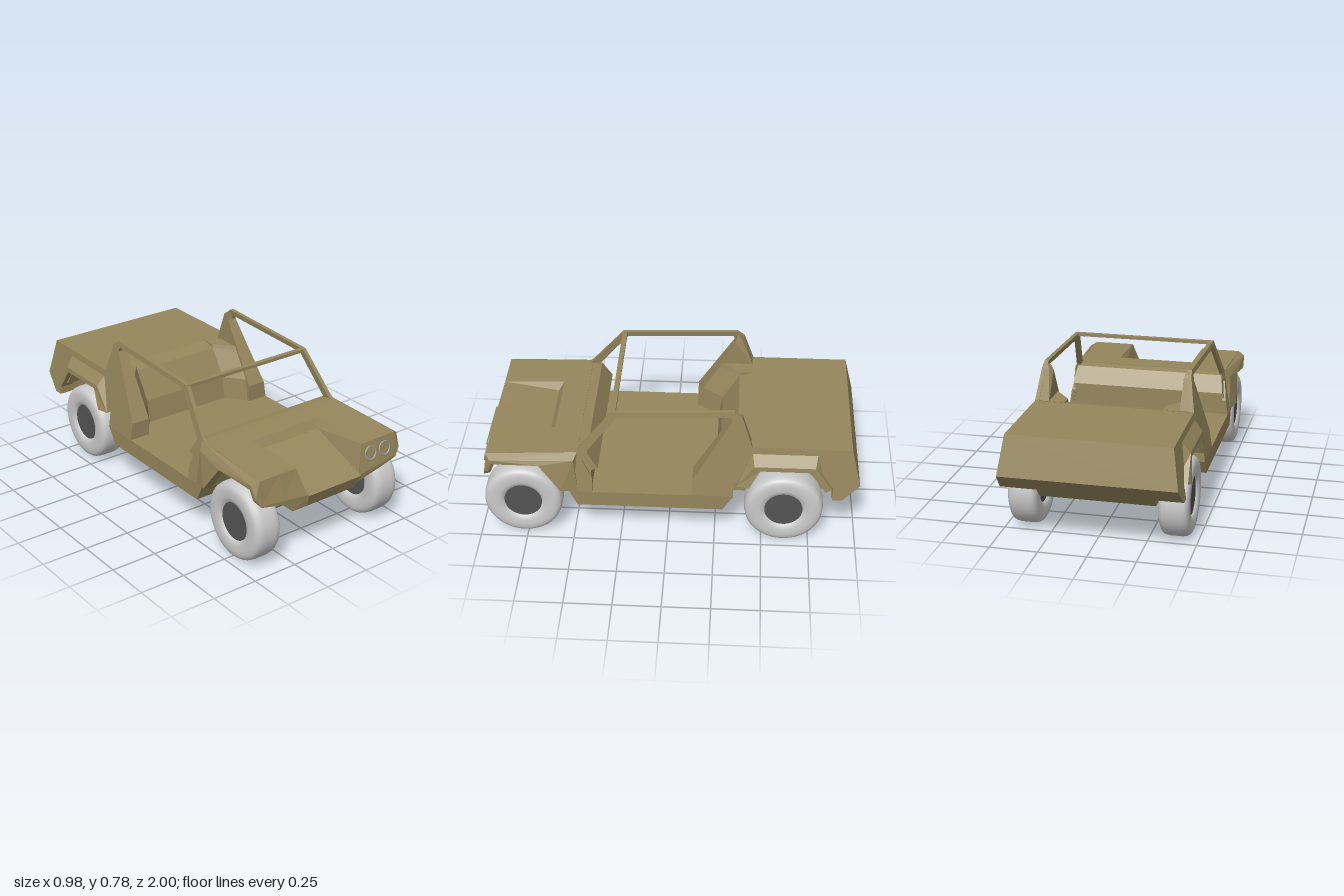
import * as THREE from 'three';

const paint = new THREE.MeshStandardMaterial({ color: 0x95865b });
paint.name = 'olive drab paint';
const rubber = new THREE.MeshStandardMaterial({ color: 0xcacaca });
rubber.name = 'pale grey tyre';
const dark = new THREE.MeshStandardMaterial({ color: 0x545454 });
dark.name = 'dark grey hub';
const steel = new THREE.MeshStandardMaterial({ color: 0x9a9c9e });
steel.name = 'steel grey trim';

// The cabin and deck sides lean inwards above the sill.
const lean = (z, y) => 0.465 - Math.max(0, y - 0.3) * 0.156;

// Solid between two matching outlines of [x, y, z] points, the second further along +x.
function loft(name, a, b) {
  let contour = a.map(p => new THREE.Vector2(p[2], p[1]));
  if (THREE.ShapeUtils.area(contour) < 0) {
    a = [...a].reverse();
    b = [...b].reverse();
    contour = contour.reverse();
  }
  const pos = [];
  const tri = (...pts) => pts.forEach(p => pos.push(...p));
  for (const [i, j, k] of THREE.ShapeUtils.triangulateShape(contour, [])) {
    tri(a[i], a[j], a[k]);
    tri(b[i], b[k], b[j]);
  }
  a.forEach((p, i) => {
    const j = (i + 1) % a.length;
    tri(a[j], p, b[i]);
    tri(a[j], b[i], b[j]);
  });
  const geo = new THREE.BufferGeometry();
  geo.setAttribute('position', new THREE.Float32BufferAttribute(pos, 3));
  geo.computeVertexNormals();
  const mesh = new THREE.Mesh(geo, paint);
  mesh.name = name;
  return mesh;
}

// Side outline of [z, y] points, with inner and outer x given by rules.
const slab = (name, outline, inner, outer) => loft(name,
  outline.map(([z, y]) => [inner(z, y), y, z]),
  outline.map(([z, y]) => [outer(z, y), y, z]));

// Slab running across the whole width.
const across = (name, outline, half) => slab(name, outline, (z, y) => -half(z, y), half);

function makeWheel() {
  const wheel = new THREE.Group();
  wheel.name = 'wheel';
  const outline = [[0.098, -0.058], [0.108, -0.071], [0.13, -0.077], [0.16, -0.0775], [0.18, -0.075],
    [0.195, -0.067], [0.204, -0.054], [0.208, -0.03]];
  const full = [...outline, ...outline.map(([r, h]) => [r, -h]).reverse()];
  const tyre = new THREE.Mesh(new THREE.LatheGeometry(full.map(p => new THREE.Vector2(...p)), 48), rubber);
  tyre.name = 'tyre';
  const hub = new THREE.Mesh(new THREE.CylinderGeometry(0.101, 0.101, 0.122, 40), dark);
  hub.name = 'hub';
  wheel.add(tyre, hub);
  wheel.rotation.z = Math.PI / 2;
  return wheel;
}

export function createModel() {
  const model = new THREE.Group();
  model.name = 'openUtilityVehicle';
  const both = mesh => {
    const twin = mesh.clone();
    twin.scale.x = -1;
    mesh.name += 'Left';
    twin.name += 'Right';
    model.add(mesh, twin);
  };

  // Floor and chassis
  model.add(across('floorPan', [[0.475, 0.208], [-0.29, 0.208], [-0.345, 0.296], [0.515, 0.296]],
    () => 0.465));
  model.add(across('rearChassis', [[-0.28, 0.38], [-0.86, 0.38], [-0.91, 0.296], [-0.86, 0.295],
    [-0.78, 0.208], [-0.28, 0.208]], () => 0.3));
  model.add(across('engineBay', [[0.47, 0.5], [0.6, 0.46], [0.9, 0.38], [0.93, 0.33], [0.9, 0.295],
    [0.47, 0.295]], () => 0.3));

  // Nose with the sunken centre of the hood
  const noseHalf = (z, y) => y > 0.5 ? 0.215 : y > 0.45 ? 0.19 : y > 0.35 ? 0.172 : 0.155;
  model.add(across('noseCentre', [[0.61, 0.525], [0.64, 0.48], [1, 0.365], [0.97, 0.295], [0.86, 0.208],
    [0.46, 0.208], [0.46, 0.4]], noseHalf));

  // Raised hood sides with the front panels, solid inside and thin above the wheel
  const panel = [[0.31, 0.525, 0.61], [0.318, 0.51, 0.945], [0.31, 0.375, 0.978], [0.31, 0.352, 0.976],
    [0.31, 0.347, 0.932]];
  both(loft('hoodInner',
    [[0.215, 0.525, 0.61], [0.215, 0.51, 0.945], [0.17, 0.365, 0.99], [0.165, 0.33, 0.986],
      [0.165, 0.32, 0.93], [0.182, 0.39, 0.9], [0.19, 0.48, 0.64]],
    [...panel, [0.31, 0.36, 0.9], [0.31, 0.36, 0.62]]));
  both(loft('hoodOuter',
    [...panel, [0.31, 0.465, 0.91], [0.31, 0.465, 0.61]],
    [[0.43, 0.525, 0.61], [0.44, 0.51, 0.945], [0.44, 0.385, 0.965], [0.44, 0.375, 0.964],
      [0.43, 0.375, 0.935], [0.43, 0.465, 0.91], [0.43, 0.465, 0.61]]));
  model.add(across('hoodRear', [[0.47, 0.53], [0.61, 0.525], [0.61, 0.47], [0.54, 0.295], [0.47, 0.295]],
    () => 0.43));

  // Front fenders: bevelled edge, flared behind the wheel
  both(loft('frontFender',
    [[0.43, 0.53, 0.47], [0.44, 0.51, 0.945], [0.44, 0.375, 0.965], [0.43, 0.375, 0.935],
      [0.43, 0.465, 0.915], [0.43, 0.465, 0.67], [0.43, 0.295, 0.55], [0.43, 0.295, 0.47]],
    [[0.456, 0.49, 0.49], [0.475, 0.49, 0.925], [0.468, 0.42, 0.955], [0.468, 0.41, 0.935],
      [0.475, 0.465, 0.915], [0.475, 0.465, 0.67], [0.49, 0.315, 0.56], [0.465, 0.3, 0.47]]));

  // Dashboard and bulkhead
  model.add(across('dashboard', [[0.49, 0.53], [0.42, 0.52], [0.365, 0.43], [0.4, 0.42], [0.4, 0.29],
    [0.5, 0.29], [0.54, 0.45]], (z, y) => lean(z, y) - 0.01));

  // Side frame: front post, roof rail and rear pillar around the doorway
  both(slab('sideFrame', [[0.515, 0.296], [0.55, 0.5], [0.47, 0.54], [0.29, 0.76], [-0.34, 0.785],
    [-0.38, 0.755], [-0.435, 0.59], [-0.42, 0.38], [-0.345, 0.38], [-0.345, 0.296], [-0.13, 0.296],
    [-0.13, 0.39], [-0.33, 0.73], [-0.32, 0.755], [0.265, 0.733], [0.425, 0.53], [0.445, 0.48],
    [0.395, 0.38], [0.395, 0.296]],
    (z, y) => lean(z, y) - 0.022, lean));
  both(slab('rearPillar', [[-0.13, 0.29], [-0.13, 0.39], [-0.33, 0.73], [-0.335, 0.757], [-0.345, 0.782],
    [-0.38, 0.752], [-0.43, 0.59], [-0.4, 0.5], [-0.3, 0.29]],
    (z, y) => y > 0.77 ? 0.377 : y > 0.74 ? 0.356 : 0.345, (z, y) => lean(z, y) - 0.004));
  const header = new THREE.Mesh(new THREE.BoxGeometry(0.78, 0.017, 0.026), paint);
  header.name = 'windscreenHeader';
  header.position.set(0, 0.751, 0.282);
  model.add(header);

  // Rear deck with the cabin back wall, open below between the wheel arches
  model.add(across('rearDeck', [[-0.25, 0.29], [-0.27, 0.42], [-0.36, 0.57], [-0.44, 0.59],
    [-0.95, 0.59], [-1, 0.385], [-0.91, 0.296], [-0.86, 0.296], [-0.86, 0.37], [-0.79, 0.385],
    [-0.75, 0.475], [-0.48, 0.475], [-0.44, 0.38], [-0.345, 0.38], [-0.345, 0.29]], lean));

  // Angled corners joining the back wall to the pillars
  both(loft('cabinCorner',
    [[0.26, 0.29, -0.25], [0.26, 0.42, -0.27], [0.26, 0.57, -0.36], [0.26, 0.591, -0.37],
      [0.26, 0.591, -0.44], [0.26, 0.29, -0.34]],
    [[0.35, 0.29, -0.135], [0.35, 0.42, -0.155], [0.35, 0.57, -0.245], [0.35, 0.591, -0.255],
      [0.35, 0.591, -0.44], [0.35, 0.29, -0.34]]));

  // Rear wheel arch flares, bevelled back into the leaning sides
  both(loft('rearFlare',
    [[0.41, 0.37, -0.36], [0.424, 0.555, -0.44], [0.424, 0.555, -0.775], [0.41, 0.37, -0.865],
      [0.41, 0.36, -0.82], [0.41, 0.475, -0.75], [0.41, 0.475, -0.48], [0.41, 0.37, -0.425]],
    [[0.466, 0.37, -0.36], [0.468, 0.5, -0.45], [0.468, 0.5, -0.765], [0.472, 0.37, -0.855],
      [0.484, 0.36, -0.82], [0.47, 0.475, -0.75], [0.47, 0.475, -0.48], [0.484, 0.37, -0.425]]));

  // Wheels
  for (const z of [0.767, -0.612]) {
    for (const side of [-1, 1]) {
      const wheel = makeWheel();
      wheel.name = (z > 0 ? 'front' : 'rear') + 'Wheel' + (side > 0 ? 'Left' : 'Right');
      wheel.position.set(side * 0.388, 0.21, z);
      model.add(wheel);
    }
  }

  // Paired headlight rings on the left front panel
  for (const x of [0.265, 0.36]) {
    const ring = new THREE.Mesh(new THREE.TorusGeometry(0.035, 0.004, 8, 32), steel);
    ring.name = 'headlightRing';
    ring.position.set(x, 0.45, 0.962);
    ring.rotation.x = -0.2;
    model.add(ring);
  }
  return model;
}
